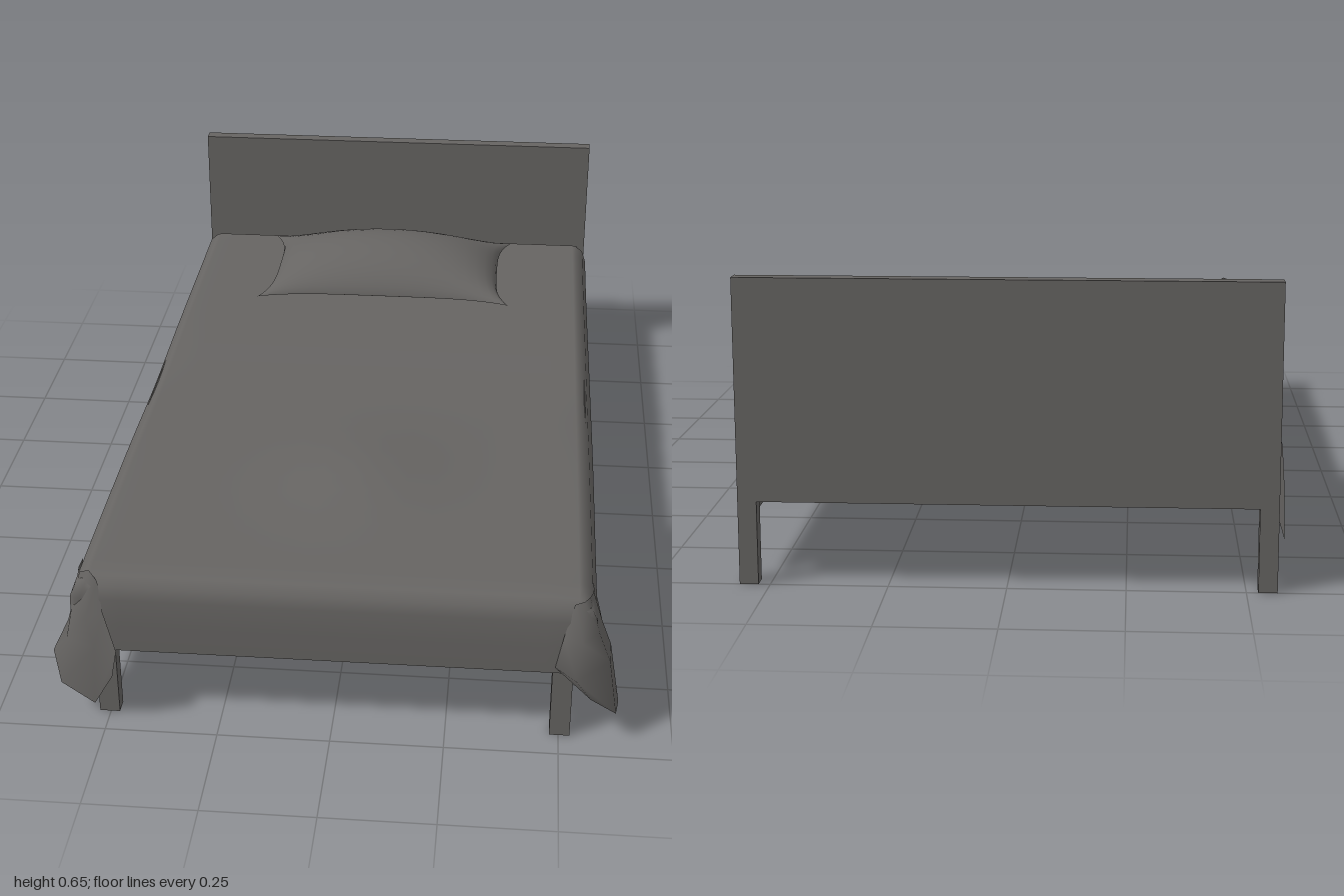
import * as THREE from 'three';

// Smooth surface from a rule p(i, j) -> [x, y, z] on an nu by nv grid of points
function sheet(nu, nv, p) {
  const pos = [], idx = [];
  for (let j = 0; j < nv; j++) for (let i = 0; i < nu; i++) pos.push(...p(i, j));
  for (let j = 0; j < nv - 1; j++) for (let i = 0; i < nu - 1; i++) {
    const a = j * nu + i, b = a + 1, c = a + nu, d = c + 1;
    idx.push(a, c, b, b, c, d);
  }
  const g = new THREE.BufferGeometry();
  g.setAttribute('position', new THREE.Float32BufferAttribute(pos, 3));
  g.setIndex(idx);
  g.computeVertexNormals();
  return g;
}

export function createModel() {
  const bed = new THREE.Group();
  bed.name = 'bed';
  const grey = new THREE.MeshStandardMaterial({ color: 0x666462, side: THREE.DoubleSide });
  grey.name = 'warm grey';

  const add = (name, geometry) => {
    const m = new THREE.Mesh(geometry, grey);
    m.name = name;
    bed.add(m);
    return m;
  };
  // Box given by its lower and upper corners
  const box = (name, x0, x1, y0, y1, z0, z1) =>
    add(name, new THREE.BoxGeometry(x1 - x0, y1 - y0, z1 - z0))
      .position.set((x0 + x1) / 2, (y0 + y1) / 2, (z0 + z1) / 2);

  // Frame
  box('headboard', -0.565, 0.565, 0.18, 0.655, -1, -0.965);
  box('headboardBracket', -0.545, 0.545, 0.18, 0.34, -0.965, -0.935);
  box('mattress', -0.555, 0.555, 0.175, 0.335, -0.94, 0.925);
  for (const s of [-1, 1]) {
    const side = s > 0 ? 'left' : 'right';
    const span = (a, b) => (s > 0 ? [a, b] : [-b, -a]);
    box(side + 'BackLeg', ...span(0.525, 0.565), 0, 0.18, -1, -0.965);
    box(side + 'FrontLeg', ...span(0.48, 0.525), 0, 0.18, 0.9, 0.935);
  }

  // Blanket: rumpled top, hanging sides, rounded fall over the foot end
  const bump = (x, z) => 0.354
    + 0.026 * Math.exp(-(((z - 0.45) / 0.2) ** 2) - ((x - 0.03) / 0.17) ** 2)
    - 0.008 * Math.exp(-((z / 0.22) ** 2));
  const edge = [[0.575, 0], [0.575, 0.45], [0.571, 0.8], [0.56, 0.93], [0.54, 0.99]];
  const foot = [[0.885, 0], [0.912, 0.006], [0.932, 0.022], [0.94, 0.05], [0.943, 0.11], [0.943, 0.18]];
  const along = 30, across = 17, cols = across + 2 * edge.length;
  add('blanket', sheet(cols, along + foot.length, (i, j) => {
    const f = j - along;
    const z = f < 0 ? -0.94 + 1.8 * (j / (along - 1)) : foot[f][0];
    const drop = f < 0 ? 0 : foot[f][1];
    const k = Math.min(i, cols - 1 - i);
    const s = i < cols / 2 ? -1 : 1;
    if (k < edge.length) {
      const low = 0.107 + 0.009 * Math.sin(1.9 * z);
      const [x, t] = edge[k];
      const y = low + (bump(x, z) - low) * t;
      const sway = 0.006 * Math.sin(4 * z + s) * (1 - t);
      return [s * (x + sway - (f > 2 ? 0.01 : 0)), f < 0 ? y : Math.min(y, 0.354 - drop), Math.min(z, 0.938)];
    }
    const x = -0.53 + 1.06 * (i - edge.length) / (across - 1);
    return [x, bump(x, z) - drop, z];
  }));

  // Loose folded corners at the foot: rows run down, points run from side to front
  const corners = {
    leftBlanketCorner: [
      [[0.56, 0.345, 0.84], [0.56, 0.35, 0.885], [0.552, 0.352, 0.91], [0.54, 0.35, 0.925], [0.52, 0.345, 0.93]],
      [[0.575, 0.27, 0.8], [0.582, 0.28, 0.89], [0.575, 0.285, 0.945], [0.54, 0.27, 0.965], [0.5, 0.27, 0.945]],
      [[0.578, 0.19, 0.76], [0.605, 0.21, 0.875], [0.602, 0.21, 0.94], [0.53, 0.19, 0.992], [0.485, 0.19, 0.945]],
      [[0.578, 0.115, 0.75], [0.63, 0.06, 0.88], [0.622, 0.075, 0.945], [0.565, 0.12, 0.96], [0.5, 0.175, 0.945]]
    ],
    rightBlanketCorner: [
      [[-0.56, 0.345, 0.84], [-0.56, 0.35, 0.885], [-0.552, 0.355, 0.91], [-0.53, 0.362, 0.915], [-0.51, 0.345, 0.93]],
      [[-0.572, 0.27, 0.83], [-0.572, 0.28, 0.89], [-0.568, 0.285, 0.935], [-0.535, 0.27, 0.96], [-0.5, 0.275, 0.945]],
      [[-0.578, 0.19, 0.82], [-0.597, 0.2, 0.875], [-0.585, 0.2, 0.94], [-0.52, 0.19, 0.965], [-0.465, 0.205, 0.99]],
      [[-0.575, 0.115, 0.82], [-0.635, 0.12, 0.88], [-0.605, 0.08, 0.945], [-0.53, 0.035, 0.955], [-0.48, 0.13, 0.98]]
    ]
  };
  for (const [name, rows] of Object.entries(corners)) add(name, sheet(5, 4, (i, j) => rows[j][i]));

  // Pillow: domed top over a flat base, with pulled-out corners
  const n = 21;
  const pillow = (dome) => (i, j) => {
    const u = Math.sin((i / (n - 1) - 0.5) * Math.PI), v = Math.sin((j / (n - 1) - 0.5) * Math.PI);
    const h = Math.pow(1 - u * u, 0.55) * Math.pow(1 - v * v, 0.65);
    return [
      -0.005 + u * (0.315 + 0.037 * v ** 4),
      0.366 + (dome ? 0.106 : -0.014) * h,
      -0.697 + v * (0.183 + 0.032 * u ** 4)
    ];
  };
  add('pillowTop', sheet(n, n, pillow(true)));
  add('pillowBase', sheet(n, n, pillow(false)));

  return bed;
}
